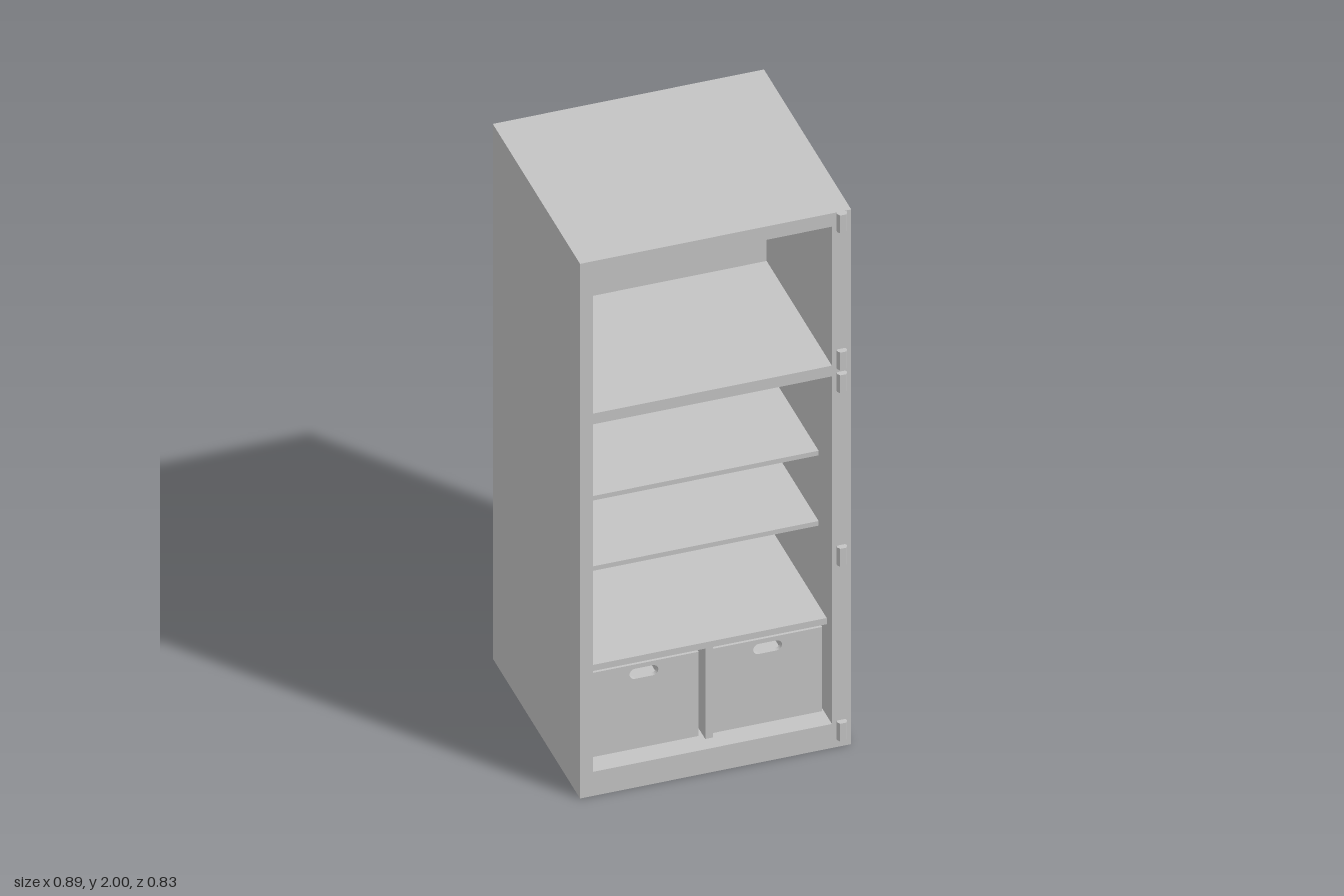
import * as THREE from 'three';

export function createModel() {
  const model = new THREE.Group();
  model.name = 'openFridge';
  const grey = new THREE.MeshStandardMaterial({ color: 0xc4c4c4 });
  grey.name = 'plain grey';

  const add = (name, geometry, parent = model) => {
    const mesh = new THREE.Mesh(geometry, grey);
    mesh.name = name;
    parent.add(mesh);
    return mesh;
  };
  // Box given by its limits along each axis
  const box = (name, x0, x1, y0, y1, z0, z1, parent) =>
    add(name, new THREE.BoxGeometry(x1 - x0, y1 - y0, z1 - z0), parent)
      .position.set((x0 + x1) / 2, (y0 + y1) / 2, (z0 + z1) / 2);
  const rect = (path, x0, x1, y0, y1) => {
    path.moveTo(x0, y0);
    path.lineTo(x1, y0);
    path.lineTo(x1, y1);
    path.lineTo(x0, y1);
    path.closePath();
    return path;
  };

  const W = 0.443, L = -0.4, R = 0.38;         // half width, inner side walls
  const BACK = -0.413, INNER = -0.21, FRONT = 0.393;

  // Cabinet: front frame with two compartments, closed by a thick back
  const frame = rect(new THREE.Shape(), -W, W, 0, 2);
  frame.holes.push(rect(new THREE.Path(), L, R, 0.09, 1.39));
  frame.holes.push(rect(new THREE.Path(), L, R, 1.43, 1.95));
  add('cabinetShell', new THREE.ExtrudeGeometry(frame, { depth: FRONT - INNER, bevelEnabled: false }))
    .position.z = INNER;
  box('cabinetBack', -W, W, 0, 2, BACK, INNER);

  // Small compartment hanging in the freezer
  box('iceCompartment', L, 0, 1.74, 1.95, INNER, 0.06);

  // Shelves and the divider between the drawers
  box('upperShelf', L, R, 1.015, 1.032, INNER, 0.27);
  box('middleShelf', L, R, 0.752, 0.769, INNER, 0.27);
  box('drawerCover', L, R, 0.432, 0.455, INNER, 0.345);
  box('drawerDivider', -0.015, 0.01, 0.09, 0.432, INNER, 0.34);

  // Open-topped drawers with a rounded grip slot
  const T = 0.015, DF = 0.32;
  [[-0.387, -0.03], [0.017, 0.374]].forEach(([x0, x1], i) => {
    const drawer = new THREE.Group();
    drawer.name = i ? 'leftDrawer' : 'rightDrawer';
    model.add(drawer);
    const y0 = 0.092, y1 = 0.407, c = (x0 + x1) / 2, r = 0.019, h = 0.028;
    const face = rect(new THREE.Shape(), x0, x1, y0, y1);
    const slot = new THREE.Path();
    slot.absarc(c + h, 0.372, r, -Math.PI / 2, Math.PI / 2);
    slot.absarc(c - h, 0.372, r, Math.PI / 2, Math.PI * 1.5);
    slot.closePath();
    face.holes.push(slot);
    add('drawerFront', new THREE.ExtrudeGeometry(face, { depth: T, bevelEnabled: false, curveSegments: 8 }), drawer)
      .position.z = DF - T;
    box('drawerBase', x0, x1, y0, y0 + T, INNER + 0.01, DF - T, drawer);
    box('drawerRearWall', x0 + T, x1 - T, y0 + T, y1, INNER + 0.01, INNER + 0.01 + T, drawer);
    box('drawerSide', x0, x0 + T, y0 + T, y1, INNER + 0.01, DF - T, drawer);
    box('drawerSide', x1 - T, x1, y0 + T, y1, INNER + 0.01, DF - T, drawer);
  });

  // Chamfered door hinges along the left edge
  const profile = new THREE.Shape([
    [-0.012, 0], [0.012, 0], [0.016, -0.004], [0.016, -0.01], [0.01, -0.02], [-0.01, -0.02], [-0.016, -0.01], [-0.016, -0.004],
  ].map(([x, y]) => new THREE.Vector2(x, y)));
  for (const y of [0.032, 0.686, 1.335, 1.42, 1.933]) {
    const hinge = add('doorHinge', new THREE.ExtrudeGeometry(profile, { depth: 0.067, bevelEnabled: false }));
    hinge.rotation.x = -Math.PI / 2;
    hinge.position.set(0.41, y, FRONT);
  }
  return model;
}
